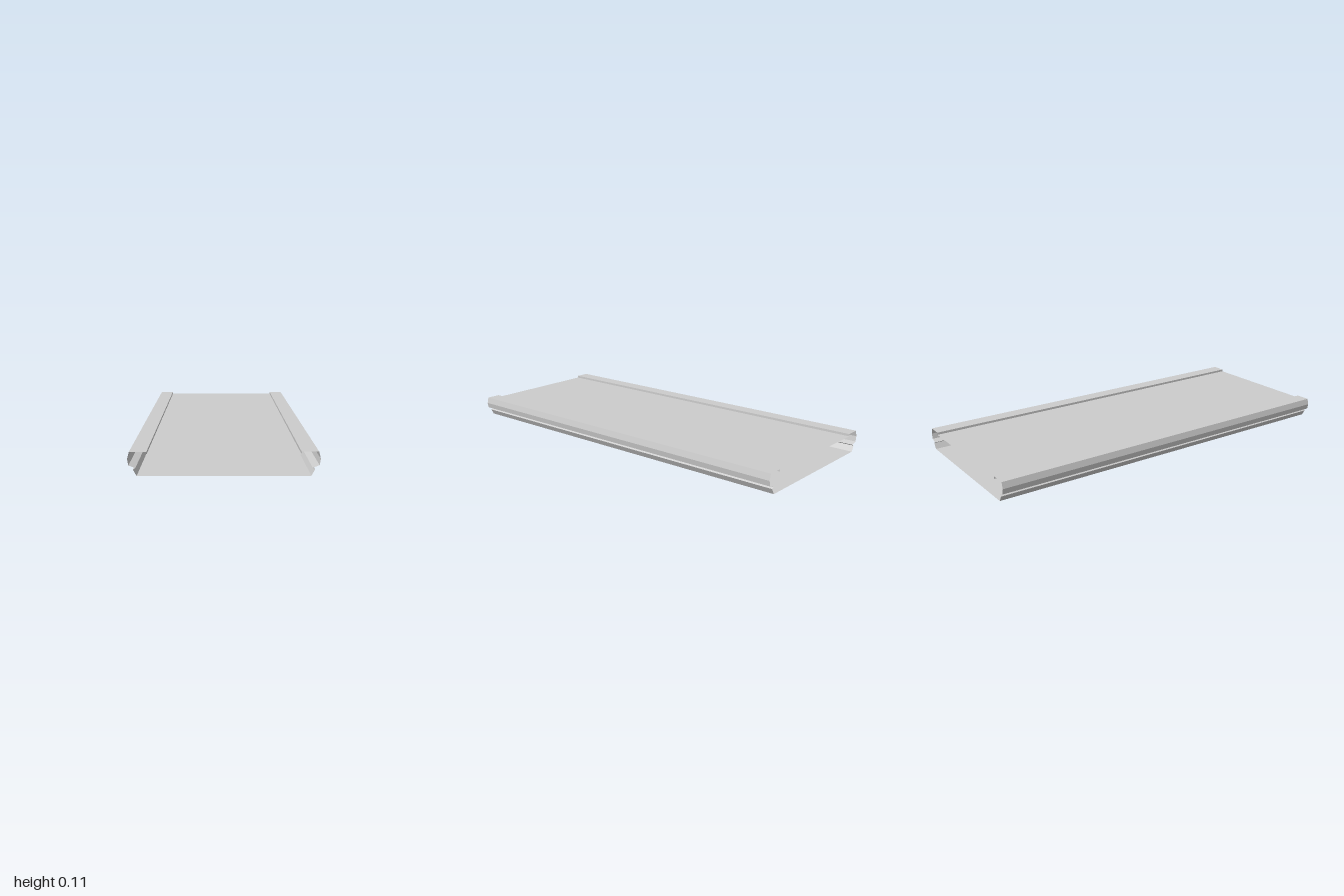
import * as THREE from 'three';

const HALF_LENGTH = 1;

const material = new THREE.MeshStandardMaterial({
  color: 0xcccccc, flatShading: true, side: THREE.DoubleSide,
});

// Thin sheet: an open [x, y] profile swept along z, with sharp folds
function sheet(name, profile) {
  const positions = [];
  for (let i = 0; i < profile.length - 1; i++) {
    const [ax, ay] = profile[i];
    const [bx, by] = profile[i + 1];
    const a0 = [ax, ay, -HALF_LENGTH], a1 = [ax, ay, HALF_LENGTH];
    const b0 = [bx, by, -HALF_LENGTH], b1 = [bx, by, HALF_LENGTH];
    positions.push(...a0, ...a1, ...b1, ...a0, ...b1, ...b0);
  }
  const geometry = new THREE.BufferGeometry();
  geometry.setAttribute('position', new THREE.Float32BufferAttribute(positions, 3));
  geometry.computeVertexNormals();
  const mesh = new THREE.Mesh(geometry, material);
  mesh.name = name;
  return mesh;
}

// Folded side, from the deck step over the lip and round the groove to the base
const sideProfile = [
  [0.336, 0.095], [0.336, 0.107], [0.412, 0.107], [0.42, 0.075],
  [0.415, 0.047], [0.385, 0.036], [0.396, 0.029], [0.38, 0],
];

export function createModel() {
  const group = new THREE.Group();
  group.name = 'foldedPanel';

  // Recessed top surface
  group.add(sheet('deck', [[-0.336, 0.095], [0.336, 0.095]]));

  // Flat underside, facing down
  group.add(sheet('base', [[0.38, 0], [-0.38, 0]]));

  // Mirrored sides; the right one runs backwards so it also faces outwards
  group.add(sheet('leftSide', sideProfile));
  group.add(sheet('rightSide', sideProfile.map(([x, y]) => [-x, y]).reverse()));

  return group;
}
